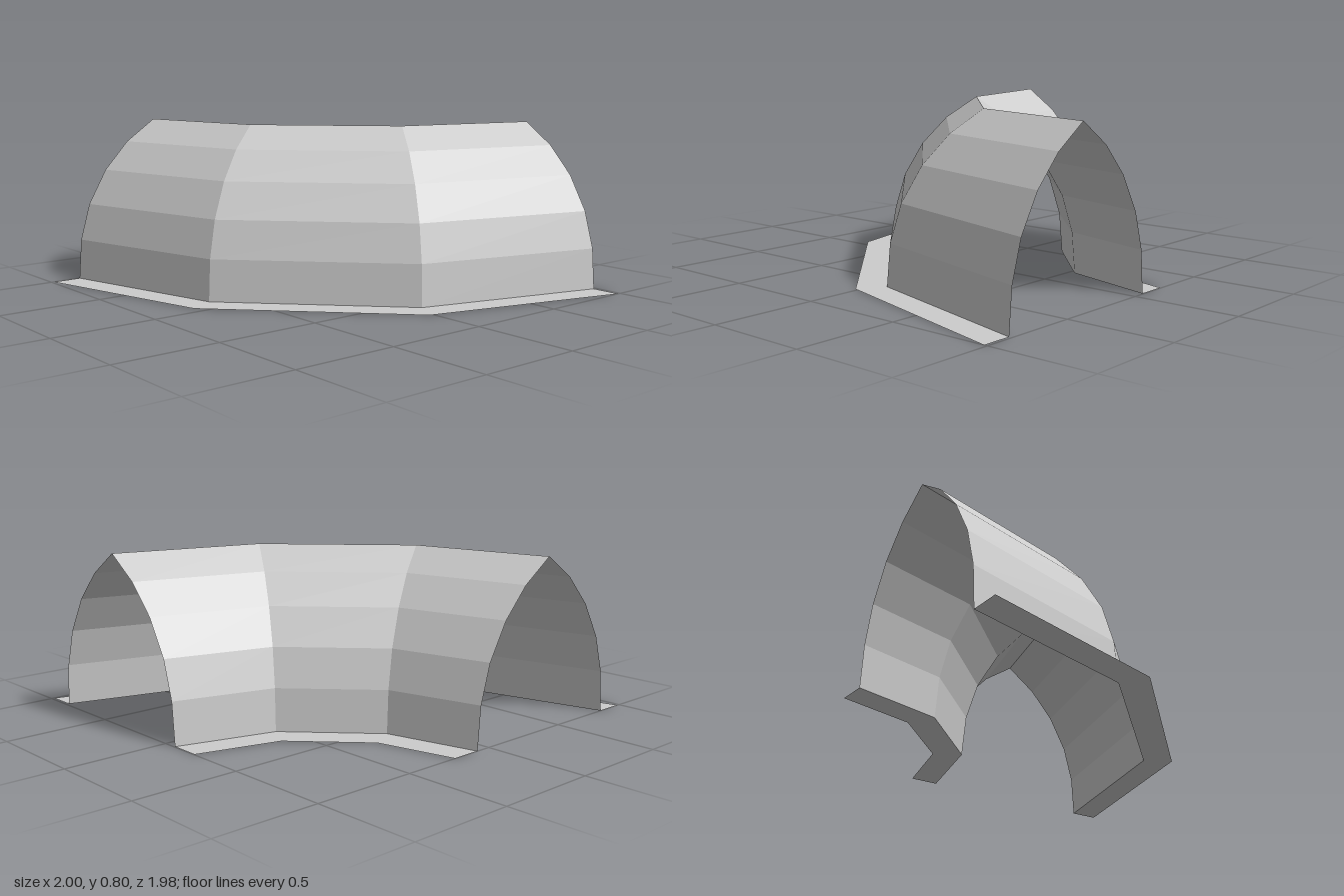
import * as THREE from 'three';

// Cross-section cuts along the bend: outer and inner ends of the ground flange [x, z]
const stations = [
  { outer: [-1, 0.988], inner: [-1, -0.22] },
  { outer: [-0.06, 0.757], inner: [-0.627, -0.31] },
  { outer: [0.72, 0.018], inner: [-0.318, -0.605] },
  { outer: [1, -0.985], inner: [-0.21, -0.997] },
];

// Half of the pointed arch: [fraction of half width, height], ground to ridge
const W = 0.76;
const half = [[W, 0], [0.965 * W, 0.2], [0.85 * W, 0.38], [0.635 * W, 0.55], [0.35 * W, 0.69], [0, 0.8]];
const mirrored = half.slice(0, -1).reverse().map(([t, y]) => [-t, y]);

// Sweeps a profile through all stations as flat facets
function sweep(profile, name, material) {
  const point = (s, [t, y]) => {
    const { outer, inner } = stations[s];
    const k = (1 - t) / 2;
    return [outer[0] + (inner[0] - outer[0]) * k, y, outer[1] + (inner[1] - outer[1]) * k];
  };
  const positions = [];
  for (let s = 0; s < stations.length - 1; s++) {
    for (let j = 0; j < profile.length - 1; j++) {
      const a = point(s, profile[j]);
      const b = point(s + 1, profile[j]);
      const c = point(s + 1, profile[j + 1]);
      const d = point(s, profile[j + 1]);
      positions.push(...a, ...b, ...c, ...a, ...c, ...d);
    }
  }
  const geometry = new THREE.BufferGeometry();
  geometry.setAttribute('position', new THREE.Float32BufferAttribute(positions, 3));
  geometry.computeVertexNormals();
  const mesh = new THREE.Mesh(geometry, material);
  mesh.name = name;
  return mesh;
}

export function createModel() {
  const grey = new THREE.MeshStandardMaterial({ color: 0xcccccc, side: THREE.DoubleSide, flatShading: true });
  grey.name = 'lightGrey';

  const group = new THREE.Group();
  group.name = 'curvedTunnel';
  group.add(
    sweep([...half, ...mirrored], 'archedShell', grey),
    sweep([[1, 0], [W, 0]], 'outerFlange', grey),
    sweep([[-W, 0], [-1, 0]], 'innerFlange', grey),
  );
  return group;
}
